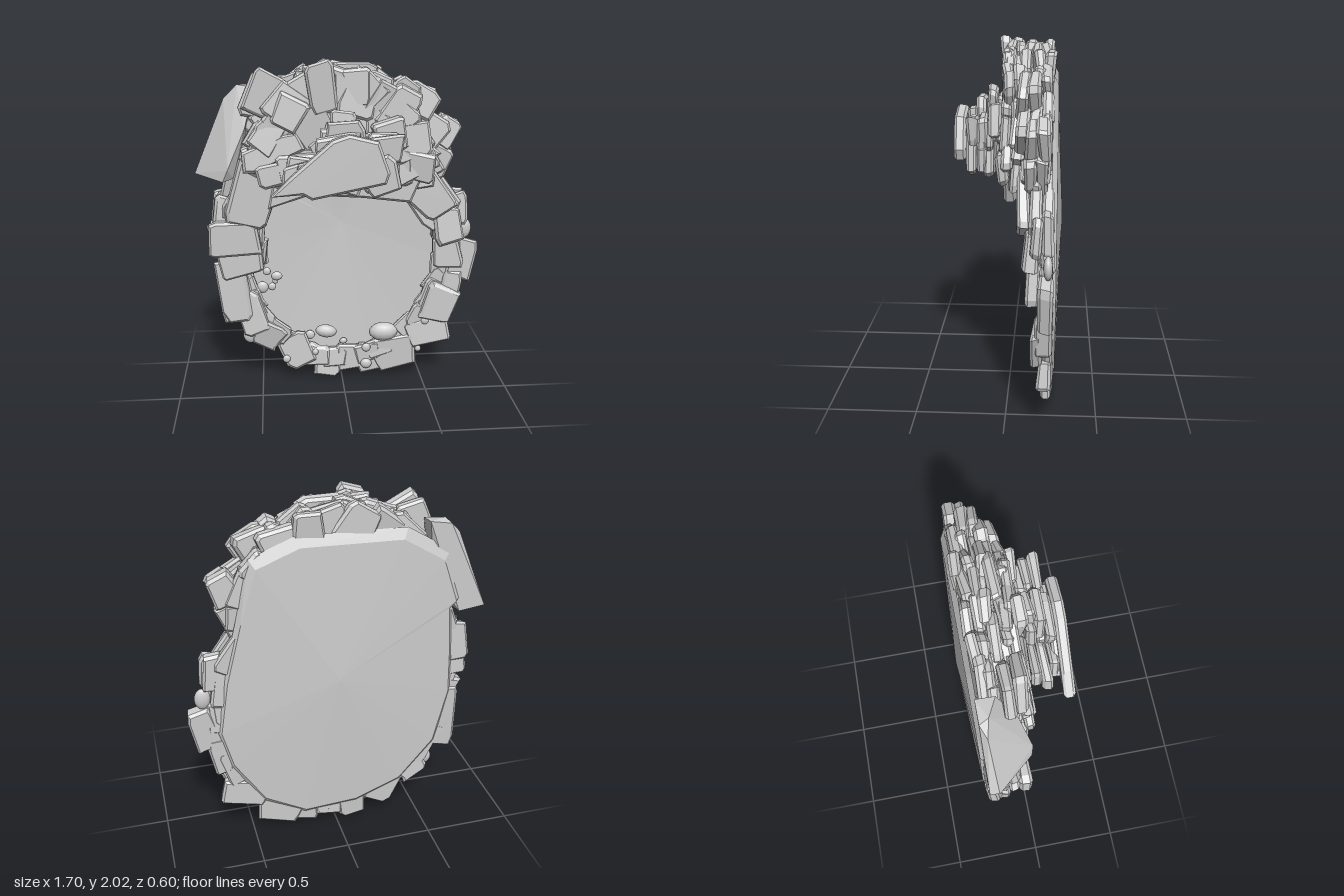
import * as THREE from 'three';
import { ConvexGeometry } from 'three/addons/geometries/ConvexGeometry.js';

const stone = new THREE.MeshStandardMaterial({ color: 0xcccccc, flatShading: true });
const basinMat = new THREE.MeshStandardMaterial({ color: 0xcccccc, flatShading: true, side: THREE.DoubleSide });
const pebbleMat = new THREE.MeshStandardMaterial({ color: 0xcccccc });
const BACK = -0.25;

let seed = 7;
const rnd = () => (seed = (seed * 16807) % 2147483647) / 2147483647;
const jit = (a) => (rnd() * 2 - 1) * a;

// Chipped slab from an outline, lying in the xy plane with its face at z = 0
function slabGeometry(outline, thick) {
  const bevel = Math.min(0.014, thick * 0.25);
  const g = new THREE.ExtrudeGeometry(new THREE.Shape(outline), {
    depth: thick - 2 * bevel, bevelThickness: bevel, bevelSize: bevel,
    bevelOffset: -bevel, bevelSegments: 1,
  });
  return g.translate(0, 0, bevel - thick);
}

// Irregular rectangle with clipped corners, wider at one end
const CORNERS = [[-.5, -.36], [-.4, -.5], [.42, -.5], [.5, -.4], [.5, .38], [.36, .5], [-.4, .5], [-.5, .4]];
function chipped(w, h) {
  const taper = jit(.25);
  return CORNERS.map(([x, y]) => new THREE.Vector2((x * (1 + taper * y) + jit(.07)) * w, (y + jit(.07)) * h));
}

function slab(parent, name, x, y, z, w, h, thick, rot, tilt = 0.1) {
  const g = slabGeometry(chipped(w, h), thick);
  // Slanted sides and a face that thins toward one corner
  const p = g.attributes.position, sx = jit(.015), sy = jit(.015), kx = jit(.3), ky = jit(.3);
  for (let i = 0; i < p.count; i++) {
    const f = 1 + p.getZ(i) / thick, px = p.getX(i), py = p.getY(i);
    p.setXYZ(i, px + sx * f, py + sy * f, p.getZ(i) + f * thick * (kx * px / w + ky * py / h));
  }
  g.computeVertexNormals();
  const m = new THREE.Mesh(g, stone);
  m.name = name;
  m.position.set(x, y, z);
  m.rotation.set(jit(tilt), jit(tilt), rot);
  parent.add(m);
}

// Pile of thin slabs from a front depth down to the back
function stack(parent, name, x, y, w, h, deg, front, back = BACK) {
  const n = Math.max(1, Math.round((front - back) / 0.065));
  const t = (front - back) / n;
  for (let i = 0; i < n; i++) {
    const j = i ? 0.02 : 0;
    slab(parent, name, x + jit(j), y + jit(j), front - i * t, w * (1 + jit(j * 4)), h * (1 + jit(j * 4)),
      t * 1.05, THREE.MathUtils.degToRad(deg + jit(j * 350)), 0.06);
  }
}

// Shaped slab given by its corners
function shaped(parent, name, pts, z, thick) {
  const m = new THREE.Mesh(slabGeometry(pts.map((p) => new THREE.Vector2(...p)), thick), stone);
  m.name = name;
  m.position.z = z;
  parent.add(m);
}

// Shallow faceted basin: a fan from the deep centre plus a turned-up rim
function basin() {
  const rim = [[.47, 1.74], [.22, 1.84], [-.38, 1.83], [-.63, 1.68], [-.7, 1.4], [-.66, 1.36], [-.68, 1.08], [-.69, .8],
    [-.61, .46], [-.4, .21], [-.12, .1], [.2, .08], [.45, .22], [.63, .5], [.69, .73], [.64, 1.05], [.55, 1.4]];
  const pos = [0, 1, -0.3], idx = [], n = rim.length;
  for (const [x, y] of rim) {
    const inset = y > 1.5 ? .93 : .96;
    pos.push(x * inset, 1 + (y - 1) * inset, -0.268);
  }
  for (const [x, y] of rim) pos.push(x, y, -0.24);
  for (let i = 0; i < n; i++) {
    const a = 1 + i, b = 1 + (i + 1) % n;
    idx.push(0, a, b, a, a + n, b + n, a, b + n, b);
  }
  const g = new THREE.BufferGeometry();
  g.setAttribute('position', new THREE.Float32BufferAttribute(pos, 3));
  g.setIndex(idx);
  g.computeVertexNormals();
  const m = new THREE.Mesh(g, basinMat);
  m.name = 'basin';
  return m;
}

export function createModel() {
  seed = 7;
  const model = new THREE.Group();
  model.name = 'stonePond';
  const part = (name) => {
    const g = new THREE.Group();
    g.name = name;
    model.add(g);
    return g;
  };
  model.add(basin());

  // Low course of small stones under the border
  const footing = part('footing');
  for (let i = 0; i < 20; i++) {
    const a = Math.PI * (1 + (i + .5) / 20);
    slab(footing, 'footingStone', Math.cos(a) * .64, .92 + Math.sin(a) * .79, -.2 + jit(.008),
      .16, .13, .045, a + Math.PI / 2 + jit(.25), .06);
  }

  // Border around the pool: x, y, width, height, angle, front depth
  const border = part('border');
  [[-.63, .99, .28, .22, 3, -.01], [-.7, 1.1, .12, .24, -8, -.06], [-.6, .84, .27, .18, 12, -.07],
    [-.65, .62, .17, .42, 8, -.13], [-.55, .46, .15, .28, 18, -.15], [-.46, .3, .19, .17, -28, -.17],
    [-.29, .18, .18, .21, 25, -.19], [-.1, .09, .16, .16, -8, -.21], [.05, .12, .18, .17, 0, -.2],
    [.19, .12, .18, .18, 4, -.2], [.34, .16, .27, .21, 12, -.19], [.54, .29, .26, .17, 12, -.18],
    [.59, .5, .19, .24, -18, -.15], [.67, .57, .11, .24, -10, -.17], [.75, .75, .15, .27, -14, -.18],
    [.64, .85, .17, .2, 5, -.12], [.62, 1.0, .16, .22, 8, -.1], [.69, 1.1, .11, .2, 5, -.14],
    [.51, 1.2, .24, .3, 38, -.06], [-.53, 1.24, .24, .38, -20, .0], [-.63, 1.27, .14, .16, -15, -.1],
  ].forEach((s) => stack(border, 'borderStone', ...s));

  // Lintel over the opening
  const lintel = part('lintel');
  for (let i = 0; i < 4; i++)
    shaped(lintel, 'lintelSlab', [[-.44, 1.17], [-.2, 1.2 + i * .015], [.1, 1.18 + i * .015], [.38, 1.19], [.45, 1.36],
      [.1, 1.36], [-.4, 1.38]], -.18 + i * .065, .066);

  // Domed wall: radial courses, narrowing toward the front
  const dome = part('domeWall');
  for (let layer = 0; layer < 5; layer++) {
    const z = -.185 + layer * .052, narrow = 1 - layer * .045;
    for (const [r, count, w, h] of [[.525, 12, .2, .21], [.34, 8, .2, .24], [.14, 5, .2, .24]]) {
      for (let i = 0; i < count; i++) {
        const a = Math.PI * (i + .5 + jit(.2)) / count;
        const reach = r * (1 + jit(.03));
        slab(dome, 'wallStone', Math.cos(a) * reach * narrow - .03, 1.34 + Math.sin(a) * reach, z + jit(.01),
          w * (1 + jit(.2)), h * (1 + jit(.1)), .055, a - Math.PI / 2 + jit(.4));
      }
    }
  }

  // Large facing stones on the wall
  const facing = part('facingStones');
  [[-.13, 1.84, .15, .28, 5, .05], [.09, 1.81, .2, .25, -22, .03], [-.31, 1.72, .18, .2, -28, .05],
    [-.45, 1.8, .2, .24, -25, .0], [.3, 1.73, .19, .26, -32, .02], [.43, 1.76, .2, .18, -30, -.06],
    [.49, 1.6, .21, .2, -35, -.06], [.24, 1.6, .16, .18, 15, .09], [-.42, 1.49, .32, .13, 22, .04],
    [.36, 1.41, .32, .15, 28, .03], [-.36, 1.38, .26, .14, 12, .06], [-.42, 1.6, .16, .22, -35, .03],
    [.58, 1.57, .14, .17, -30, -.11], [.54, 1.42, .16, .2, -25, -.1], [-.02, 1.63, .14, .2, -6, .13],
  ].forEach((s) => stack(facing, 'facingStone', ...s, s[5] - .12));

  // Broad wedge leaning on the side of the wall
  const wedge = new THREE.Mesh(new ConvexGeometry([
    [-.86, 1.34, -.2], [-.85, 1.33, -.25], [-.7, 1.31, -.25], [-.63, 1.34, -.05], [-.69, 1.33, .0],
    [-.81, 1.45, -.21], [-.66, 1.4, .01], [-.56, 1.62, -.05], [-.6, 1.85, -.2], [-.62, 1.83, -.25],
    [-.5, 1.85, -.25], [-.5, 1.84, -.15], [-.68, 1.77, -.22], [-.56, 1.5, -.2],
  ].map((p) => new THREE.Vector3(...p))), stone);
  wedge.name = 'leaningWedge';
  model.add(wedge);

  // Overhanging spout of stacked slabs, each course a little different
  const spout = part('spout');
  for (let i = 0; i < 4; i++) {
    const z = .07 + i * .05;
    for (const [x, y, w, h] of [[-.24 + i * .02, 1.4, .25, .15], [-.02, 1.42, .26, .2], [.19, 1.4, .2, .2],
      [.2, 1.53, .19, .16], [-.02, 1.54, .24, .2 + (i === 2 ? .1 : 0)]])
      slab(spout, 'spoutStone', x + jit(.02), y + jit(.012), z + jit(.01), w, h, .052, jit(.3), .06);
  }
  shaped(spout, 'spoutBacking', [[-.3, 1.34], [-.24, 1.45], [-.06, 1.58], [.14, 1.56], [.19, 1.42], [.15, 1.36],
    [-.15, 1.31]], .25, .05);
  shaped(spout, 'spoutCap', [[-.42, 1.31], [-.31, 1.42], [-.09, 1.61], [.0, 1.64], [.16, 1.6], [.22, 1.43],
    [.2, 1.37], [-.2, 1.29], [-.25, 1.32]], .295, .065);

  // Loose pebbles: x, y, radius, squash
  const pebbles = part('pebbles');
  [[-.46, .71, .025, 1], [-.4, .68, .035, .8], [-.49, .61, .038, 1], [-.43, .61, .025, 1], [-.41, .645, .018, 1],
    [-.1, .31, .068, .6], [.26, .3, .092, .65], [.01, .23, .024, .8], [-.2, .28, .03, 1], [.15, .2, .028, 1],
    [.15, .09, .036, .9], [.75, .96, .045, 1.4], [-.57, .31, .045, 1.1], [-.17, .18, .02, 1], [.52, .37, .025, 1],
    [-.35, .14, .025, 1], [.48, .18, .02, 1],
  ].forEach(([x, y, r, k], i) => {
    const m = new THREE.Mesh(new THREE.SphereGeometry(r, 12, 8), pebbleMat);
    const onBorder = x * x + (y - 1) ** 2 > .62;
    m.name = 'pebble';
    m.scale.set(1, k, .55);
    m.rotation.z = (i % 5 - 1) * .15;
    m.position.set(x, y, onBorder ? -.19 : -.25 + r * .5);
    pebbles.add(m);
  });

  return model;
}
